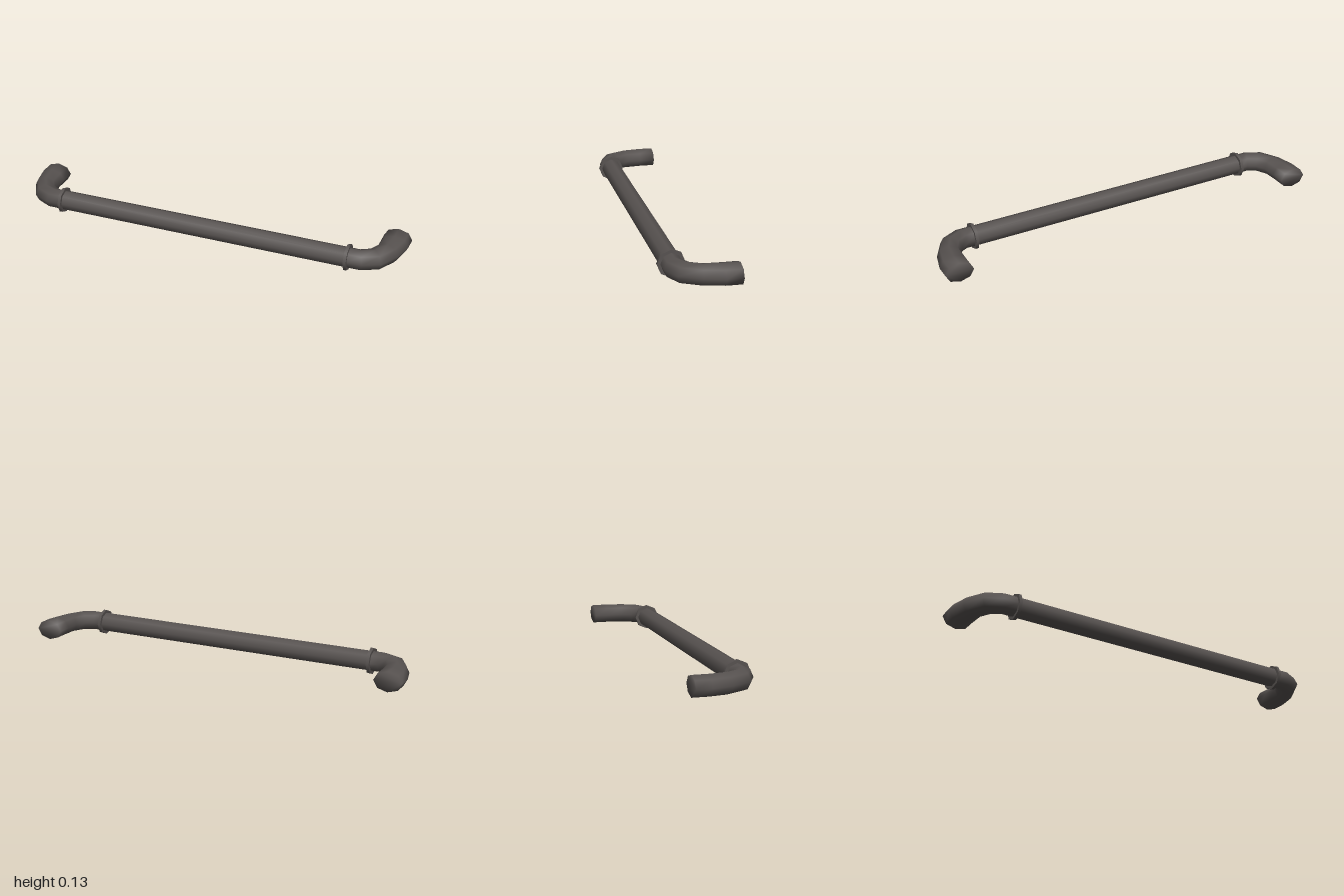
import * as THREE from 'three';

const SIDES = 8;
const BAR_Z = 0.101;
const R = 0.05;

// Elbow cross-sections from collar to leg end: outer x, z and inner x, z
const SECTIONS = [
  [0.755, 0.151, 0.755, 0.051],
  [0.834, 0.15, 0.797, 0.053],
  [0.92, 0.108, 0.836, 0.03],
  [0.975, 0.008, 0.86, -0.016],
  [1.0, -0.09, 0.86, -0.09],
  [1.0, -0.166, 0.86, -0.166],
];

// Lofts eight-sided ovals through the sections and caps the leg end
function elbowGeometry() {
  const pos = [], idx = [];
  for (const [ox, oz, ix, iz] of SECTIONS) {
    const cx = (ox + ix) / 2, cz = (oz + iz) / 2;
    for (let j = 0; j < SIDES; j++) {
      const a = (j / SIDES) * Math.PI * 2, c = Math.cos(a);
      pos.push(cx + (ox - cx) * c, R * Math.sin(a), cz + (oz - cz) * c);
    }
  }
  const last = SECTIONS.length - 1;
  for (let i = 0; i < last; i++) {
    for (let j = 0; j < SIDES; j++) {
      const k = (j + 1) % SIDES, p = i * SIDES, q = p + SIDES;
      idx.push(p + j, q + j, q + k, p + j, q + k, p + k);
    }
  }
  for (let j = 1; j < SIDES - 1; j++) {
    const p = last * SIDES;
    idx.push(p, p + j + 1, p + j);
  }
  const g = new THREE.BufferGeometry();
  g.setAttribute('position', new THREE.Float32BufferAttribute(pos, 3));
  g.setIndex(idx);
  g.computeVertexNormals();
  return g;
}

export function createModel() {
  const metal = new THREE.MeshStandardMaterial({ color: 0x575250 });
  metal.name = 'dark grey metal';

  const model = new THREE.Group();
  model.name = 'pullHandle';
  const body = new THREE.Group();
  body.name = 'handleBody';
  body.position.y = 0.066;
  model.add(body);

  const add = (parent, name, geometry) => {
    const mesh = new THREE.Mesh(geometry, metal);
    mesh.name = name;
    parent.add(mesh);
    return mesh;
  };

  // Straight grip
  const bar = add(body, 'gripBar', new THREE.CylinderGeometry(R, R, 1.51, SIDES, 1, true));
  bar.rotation.z = Math.PI / 2;
  bar.position.z = BAR_Z;

  // Each end: a thin collar and a bent leg; the second end is turned half round
  const elbow = elbowGeometry();
  const ring = new THREE.CylinderGeometry(0.0655, 0.0655, 0.015, SIDES);
  for (const side of ['left', 'right']) {
    const end = new THREE.Group();
    end.name = side + 'End';
    if (side === 'right') end.rotation.z = Math.PI;
    body.add(end);
    add(end, side + 'Elbow', elbow);
    const collar = add(end, side + 'Collar', ring);
    collar.rotation.z = Math.PI / 2;
    collar.position.set(0.755, 0, BAR_Z);
  }
  return model;
}
